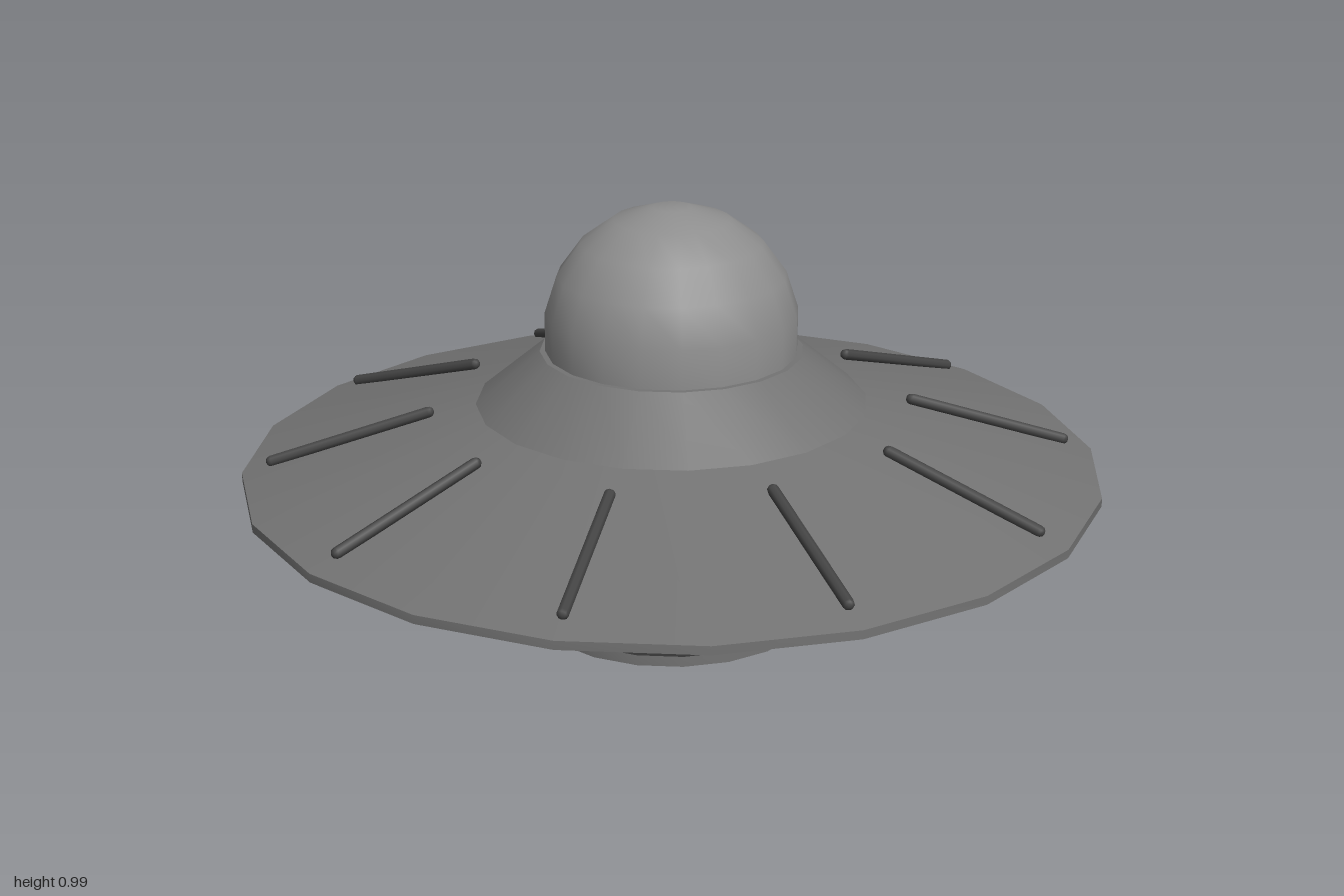
import * as THREE from 'three';
import { toCreasedNormals } from 'three/addons/utils/BufferGeometryUtils.js';

const SIDES = 20;

// Revolve a bottom-to-top [radius, height] profile, keeping edges above the crease angle crisp
function revolve(name, profile, material, crease) {
  const points = profile.map(([r, y]) => new THREE.Vector2(r, y));
  const geometry = toCreasedNormals(new THREE.LatheGeometry(points, SIDES), crease);
  const mesh = new THREE.Mesh(geometry, material);
  mesh.name = name;
  return mesh;
}

// Repeat a part, built in the +z direction, around the vertical axis
function ring(name, partName, count, startAngle, geometry, material, place) {
  const group = new THREE.Group();
  group.name = name;
  for (let i = 0; i < count; i++) {
    const arm = new THREE.Group();
    arm.rotation.y = startAngle + (i / count) * Math.PI * 2;
    const mesh = new THREE.Mesh(geometry, material);
    mesh.name = partName;
    place(mesh);
    arm.add(mesh);
    group.add(arm);
  }
  return group;
}

export function createModel() {
  const model = new THREE.Group();
  model.name = 'flyingSaucer';
  const hullGrey = new THREE.MeshStandardMaterial({ color: 0x737373 });
  const domeGrey = new THREE.MeshStandardMaterial({ color: 0x8e8e8e });
  const ribGrey = new THREE.MeshStandardMaterial({ color: 0x444444 });
  const yellow = new THREE.MeshStandardMaterial({ color: 0xffc400 });

  // Hull: recess wall, base ring, lower step, wide disc, collar
  model.add(revolve('hull', [
    [0.205, 0.07], [0.33, 0], [0.34, 0], [0.34, 0.025],
    [0.5, 0.128], [0.5, 0.146], [0.48, 0.15],
    [1, 0.35], [1, 0.37], [0.455, 0.525],
    [0.305, 0.65], [0.27, 0.65],
  ], hullGrey, 0.35));

  // Smooth dome with a small flat cap
  const dome = [[0.292, 0.645]];
  for (let a = 81; a > 0; a -= 18) {
    const t = THREE.MathUtils.degToRad(a);
    dome.push([0.296 * Math.sin(t), 0.695 + 0.296 * Math.cos(t)]);
  }
  dome.push([0, dome[dome.length - 1][1]]);
  model.add(revolve('dome', dome, domeGrey, 0.7));

  // Glowing disc inside the recess
  const disc = new THREE.Mesh(new THREE.CircleGeometry(0.205, SIDES), yellow);
  disc.name = 'bottomLight';
  disc.rotation.x = Math.PI / 2;
  disc.position.y = 0.07;
  model.add(disc);

  // Raised ribs lying along the upper slope
  const slope = Math.atan2(0.11, 0.365);
  const ribLength = 0.365 / Math.cos(slope);
  const ribGeometry = new THREE.CapsuleGeometry(0.0135, ribLength, 3, 8);
  model.add(ring('ribs', 'rib', 10, 0, ribGeometry, ribGrey, (rib) => {
    rib.position.set(0, 0.453, 0.7475);
    rib.rotation.x = Math.PI / 2 + slope;
  }));

  // Tapered lamps on the recess wall
  const lamp = new THREE.Shape([
    new THREE.Vector2(-0.015, -0.052), new THREE.Vector2(0.015, -0.052),
    new THREE.Vector2(0.026, 0.048), new THREE.Vector2(-0.026, 0.048),
  ]);
  const lampGeometry = new THREE.ExtrudeGeometry(lamp, { depth: 0.01, bevelEnabled: false });
  const lampStart = THREE.MathUtils.degToRad(-12);
  model.add(ring('lamps', 'lamp', 9, lampStart, lampGeometry, yellow, (mesh) => {
    mesh.position.set(0, 0.037, 0.263);
    mesh.rotation.x = Math.atan2(0.125, -0.07);
  }));

  return model;
}
